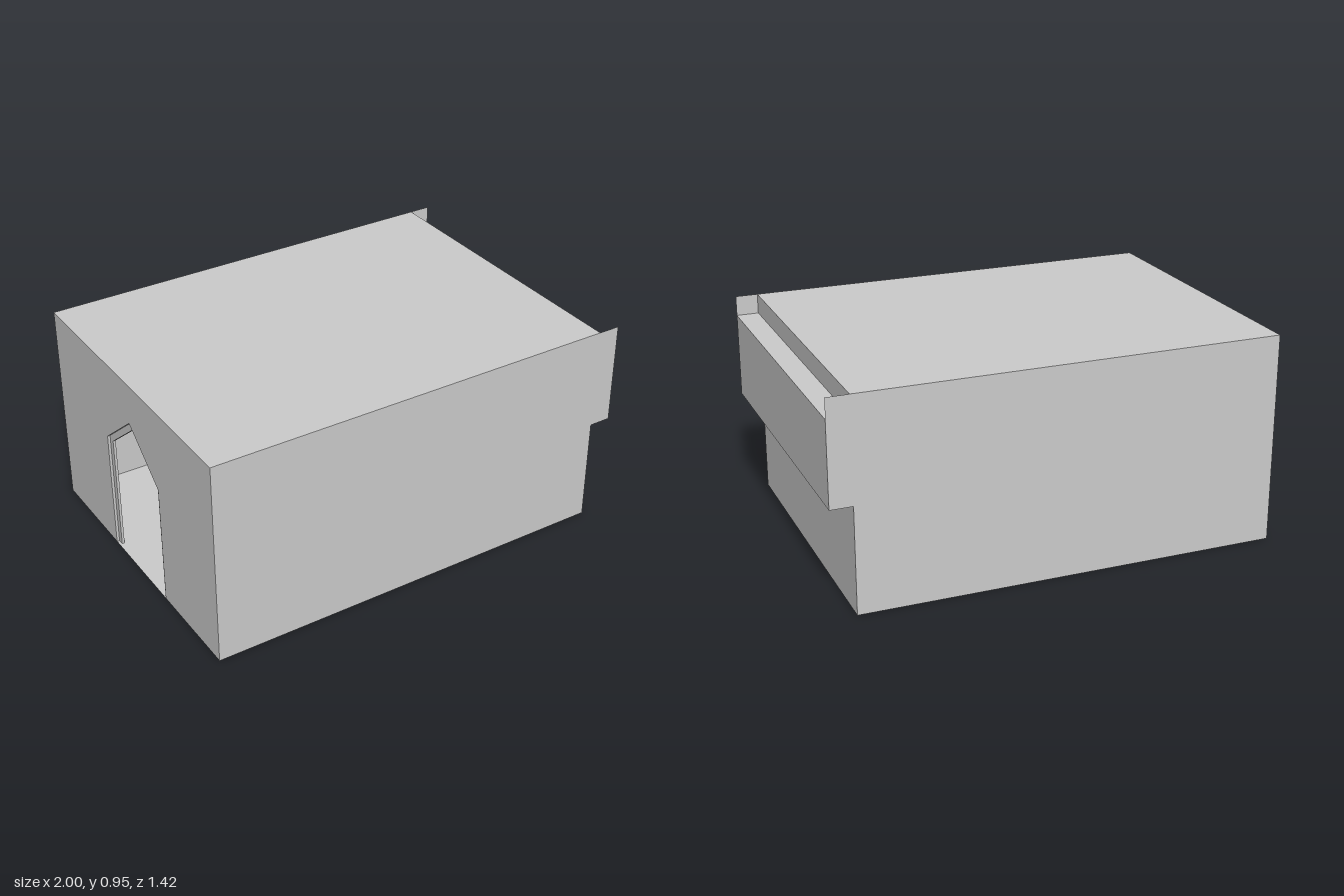
import * as THREE from 'three';

const material = new THREE.MeshStandardMaterial({ color: 0xcccccc, side: THREE.DoubleSide, flatShading: true });

const H = 0.95;        // wall height
const D = 0.71;        // half depth
const BACK = -1, WALL = 0.9, FRONT = 1;
const LEDGE_LOW = 0.48, LEDGE_TOP = 0.86;

// Flat sheet from a list of [x, y] corners
function sheet(points) {
  return new THREE.ShapeGeometry(new THREE.Shape(points.map(([x, y]) => new THREE.Vector2(x, y))));
}

// Open skin: sweeps a polyline of [x, y] points from z0 to z1
function skin(points, z0, z1) {
  const positions = [];
  for (let i = 0; i < points.length - 1; i++) {
    const [px, py] = points[i], [qx, qy] = points[i + 1];
    positions.push(px, py, z0, qx, qy, z0, qx, qy, z1, px, py, z0, qx, qy, z1, px, py, z1);
  }
  const geometry = new THREE.BufferGeometry();
  geometry.setAttribute('position', new THREE.Float32BufferAttribute(positions, 3));
  geometry.computeVertexNormals();
  return geometry;
}

// Pointed doorway outline, from one foot over the apex to the other foot
function doorway(halfWidth, spring, apex) {
  return [[-halfWidth, 0], [-halfWidth, spring], [0, apex], [halfWidth, spring], [halfWidth, 0]];
}

export function createModel() {
  const model = new THREE.Group();
  const add = (name, geometry, parent = model) => {
    const mesh = new THREE.Mesh(geometry, material);
    mesh.name = name;
    parent.add(mesh);
    return mesh;
  };

  // Side walls, including the thin ends of the ledge
  const profile = [[BACK, 0], [WALL, 0], [WALL, LEDGE_LOW], [FRONT, LEDGE_LOW], [FRONT, H], [BACK, H]];
  add('frontSideWall', sheet(profile)).position.z = D;
  const rear = add('rearSideWall', sheet(profile.map(([x, y]) => [-x, y]).reverse()));
  rear.rotation.y = Math.PI;
  rear.position.z = -D;

  // Floor, end wall and roof of the hollow room
  add('floor', skin([[BACK, 0], [WALL, 0]], -D, D));
  add('endWall', skin([[WALL, 0], [WALL, H]], -D, D));
  add('roof', skin([[WALL, H], [BACK, H]], -D, D));

  // Projecting ledge with its sunken top
  add('ledge', skin([[WALL, LEDGE_LOW], [FRONT, LEDGE_LOW], [FRONT, LEDGE_TOP], [WALL, LEDGE_TOP]], -D, D));

  // Entrance wall, drawn facing +z and turned to face -x
  const entrance = new THREE.Group();
  entrance.name = 'entrance';
  entrance.rotation.y = -Math.PI / 2;
  entrance.position.x = BACK;
  model.add(entrance);

  const outer = doorway(0.237, 0.565, 0.76);
  const inner = doorway(0.21, 0.55, 0.722);
  const step = 0.012;
  add('entranceWall', sheet([[-D, 0], ...outer, [D, 0], [D, H], [-D, H]]), entrance);
  add('outerReveal', skin(outer, -step, 0), entrance);
  add('doorFrame', sheet([...outer, ...[...inner].reverse()]), entrance).position.z = -step;
  add('innerReveal', skin(inner, -2 * step, -step), entrance);

  return model;
}
